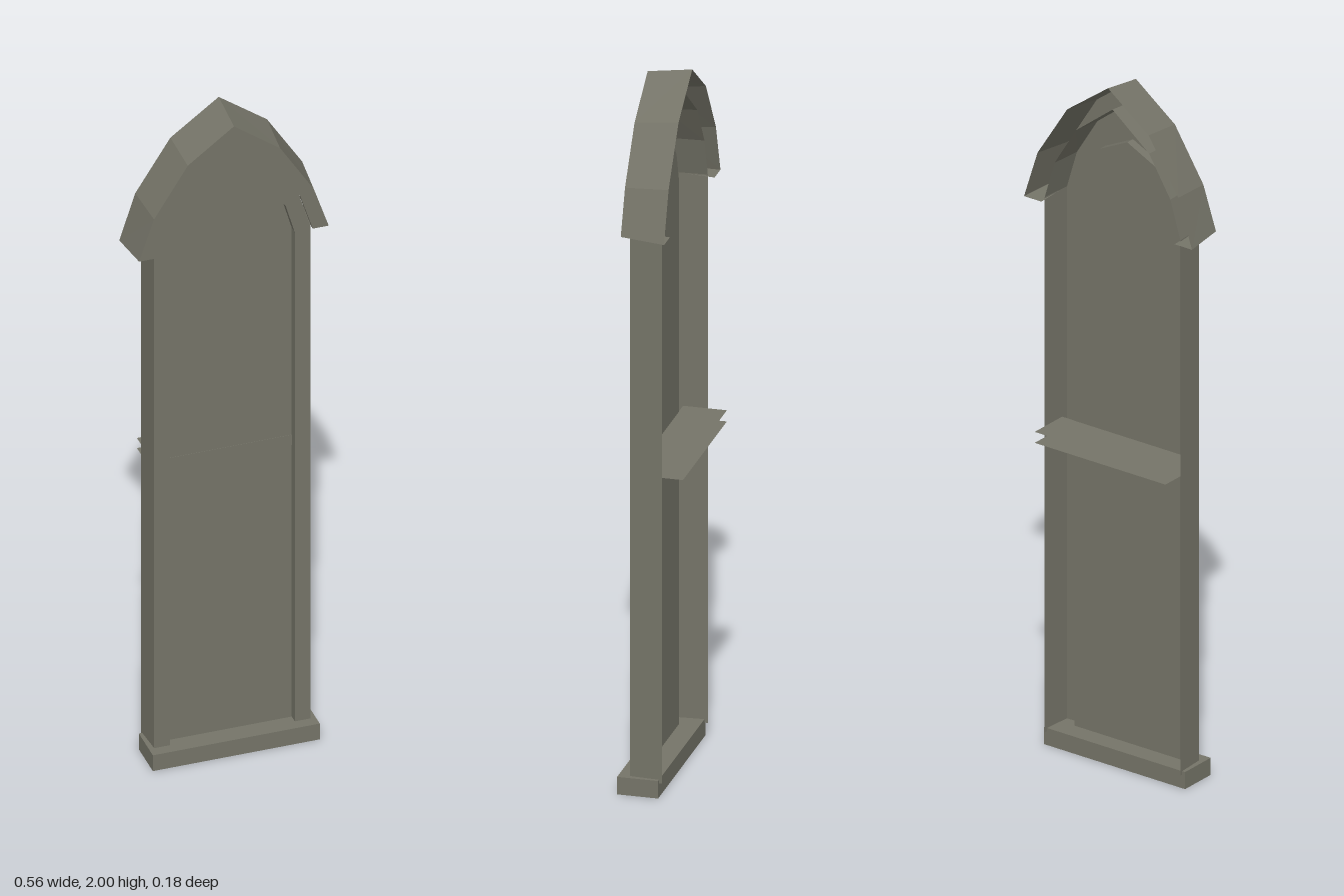
import * as THREE from 'three';

// Mirror a right-hand half outline (bottom to apex) into a full arch
const arch = (half) => [
  ...half,
  ...half.slice(0, -1).reverse().map(([x, y]) => [-x, y]),
];

// Ribbon of quads joining outline a at depth za to outline b at depth zb
function loft(a, za, b, zb) {
  const pos = [];
  for (let i = 0; i < a.length - 1; i++) {
    const p = [...a[i], za], q = [...a[i + 1], za];
    const r = [...b[i + 1], zb], s = [...b[i], zb];
    pos.push(...p, ...q, ...r, ...p, ...r, ...s);
  }
  const g = new THREE.BufferGeometry();
  g.setAttribute('position', new THREE.Float32BufferAttribute(pos, 3));
  g.computeVertexNormals();
  return g;
}

export function createModel() {
  const stone = new THREE.MeshStandardMaterial({ color: 0x757468, side: THREE.DoubleSide });
  stone.name = 'weathered stone';
  const model = new THREE.Group();
  model.name = 'archedWindow';
  const add = (name, geometry, x = 0, y = 0, z = 0) => {
    const mesh = new THREE.Mesh(geometry, stone);
    mesh.name = name;
    mesh.position.set(x, y, z);
    model.add(mesh);
  };

  // Outlines
  const frameBack = arch([[0.226, 0.04], [0.226, 1.61], [0.193, 1.72], [0.122, 1.835], [0, 1.93]]);
  const frameFront = arch([[0.22, 0.04], [0.22, 1.61], [0.187, 1.72], [0.118, 1.83], [0, 1.922]]);
  const opening = arch([[0.176, 0.04], [0.176, 1.6], [0.15, 1.69], [0.092, 1.765], [0, 1.81]]);
  const hoodBack = arch([[0.28, 1.605], [0.235, 1.745], [0.136, 1.9], [0, 2]]);
  const hoodFront = arch([[0.267, 1.61], [0.225, 1.735], [0.13, 1.885], [0, 1.982]]);
  const hoodInner = arch([[0.222, 1.61], [0.187, 1.72], [0.118, 1.83], [0, 1.922]]);

  // Frame shell, open at the back
  add('frameOuterWall', loft(frameFront, 0.055, frameBack, -0.035));
  add('frameFace', loft(opening, 0.055, frameFront, 0.055));
  add('frameReveal', loft(opening, 0.03, opening, 0.055));

  // Recessed panel
  const panel = new THREE.Shape(opening.map(([x, y]) => new THREE.Vector2(x, y)));
  add('panel', new THREE.ShapeGeometry(panel), 0, 0, 0.03);

  // Pointed hood, open at the back
  add('hoodRoof', loft(hoodFront, 0.068, hoodBack, -0.055));
  add('hoodFace', loft(hoodInner, 0.068, hoodFront, 0.068));
  add('hoodLip', loft(hoodInner, 0.055, hoodInner, 0.068));
  for (const s of [-1, 1]) {
    add('hoodFoot', loft(
      [[0.222 * s, 1.61], [0.267 * s, 1.61]], 0.068,
      [[0.222 * s, 1.605], [0.28 * s, 1.605]], -0.055));
  }

  // Crossbar: two thin shelves behind a narrow front strip
  for (const y of [0.912, 0.944]) {
    const shelf = new THREE.PlaneGeometry(0.436, 0.121).rotateX(-Math.PI / 2);
    add('crossbarShelf', shelf, 0, y, -0.0295);
  }
  add('crossbarFront', new THREE.PlaneGeometry(0.352, 0.032), 0, 0.928, 0.032);

  // Sill
  add('sill', new THREE.BoxGeometry(0.47, 0.05, 0.113), 0, 0.025, 0.0305);

  return model;
}
